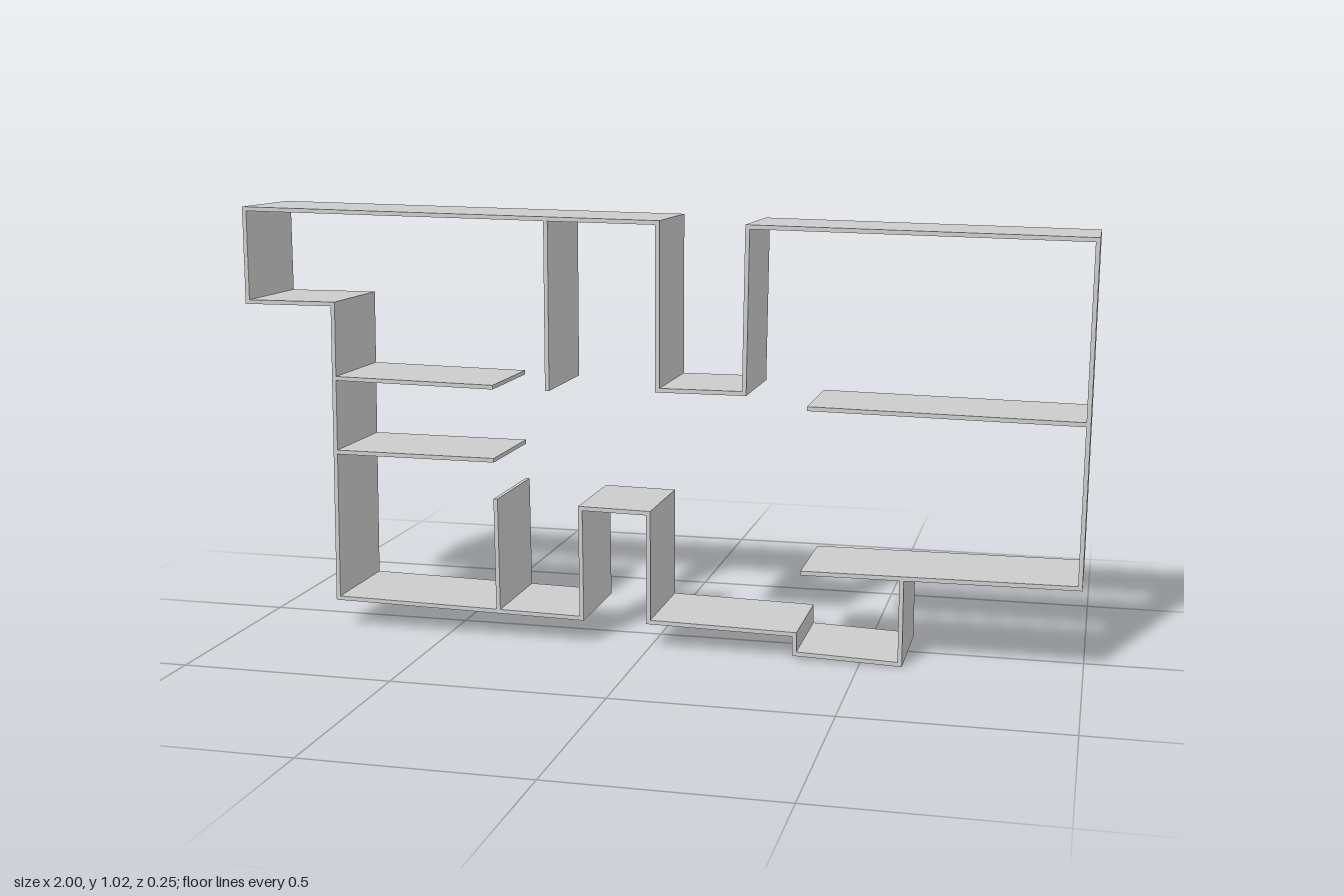
import * as THREE from 'three';

const DEPTH = 0.25, THICK = 0.01;

// Offsets a centre line to one side, with mitred corners
function offsetLine(pts, d) {
  const normal = (a, b) => new THREE.Vector2(a.y - b.y, b.x - a.x).normalize();
  return pts.map((p, i) => {
    const n1 = normal(pts[Math.max(i - 1, 0)], pts[Math.max(i, 1)]);
    const last = pts.length - 1;
    const n2 = normal(pts[Math.min(i, last - 1)], pts[Math.min(i + 1, last)]);
    const m = n1.clone().add(n2);
    return m.multiplyScalar((2 * d) / m.lengthSq()).add(p);
  });
}

// A thin wall that follows a line in the xy plane, extruded along z
function wall(name, coords, material) {
  const pts = coords.map(([x, y]) => new THREE.Vector2(x, y));
  const outline = [...offsetLine(pts, THICK / 2), ...offsetLine(pts, -THICK / 2).reverse()];
  const geometry = new THREE.ExtrudeGeometry(new THREE.Shape(outline), { depth: DEPTH, bevelEnabled: false });
  geometry.translate(0, 0, -DEPTH / 2);
  const mesh = new THREE.Mesh(geometry, material);
  mesh.name = name;
  return mesh;
}

export function createModel() {
  const group = new THREE.Group();
  group.name = 'floorPlanWalls';
  const material = new THREE.MeshStandardMaterial({ color: 0xcccccc, flatShading: true });

  const walls = {
    // Perimeter, from the lower right ledge round to the small bay
    outerWall: [
      [0.36, 0.207], [0.987, 0.21], [0.995, 0.982], [0.23, 0.997], [0.225, 0.619], [0.022, 0.619],
      [0.022, 1.003], [-0.995, 1.02], [-0.995, 0.797], [-0.775, 0.797], [-0.783, 0.074],
      [-0.163, 0.064], [-0.165, 0.331], [0, 0.328], [0, 0.066], [0.348, 0.06], [0.348, 0.014],
      [0.592, 0.006], [0.592, 0.204],
    ],
    // Partitions inside
    upperPartition: [[-0.243, 1.005], [-0.243, 0.608]],
    upperLeftShelf: [[-0.775, 0.618], [-0.377, 0.611]],
    lowerLeftShelf: [[-0.778, 0.438], [-0.377, 0.436]],
    lowerPartition: [[-0.374, 0.343], [-0.371, 0.068]],
    rightShelf: [[0.37, 0.59], [0.99, 0.579]],
  };
  for (const [name, coords] of Object.entries(walls)) group.add(wall(name, coords, material));
  return group;
}
